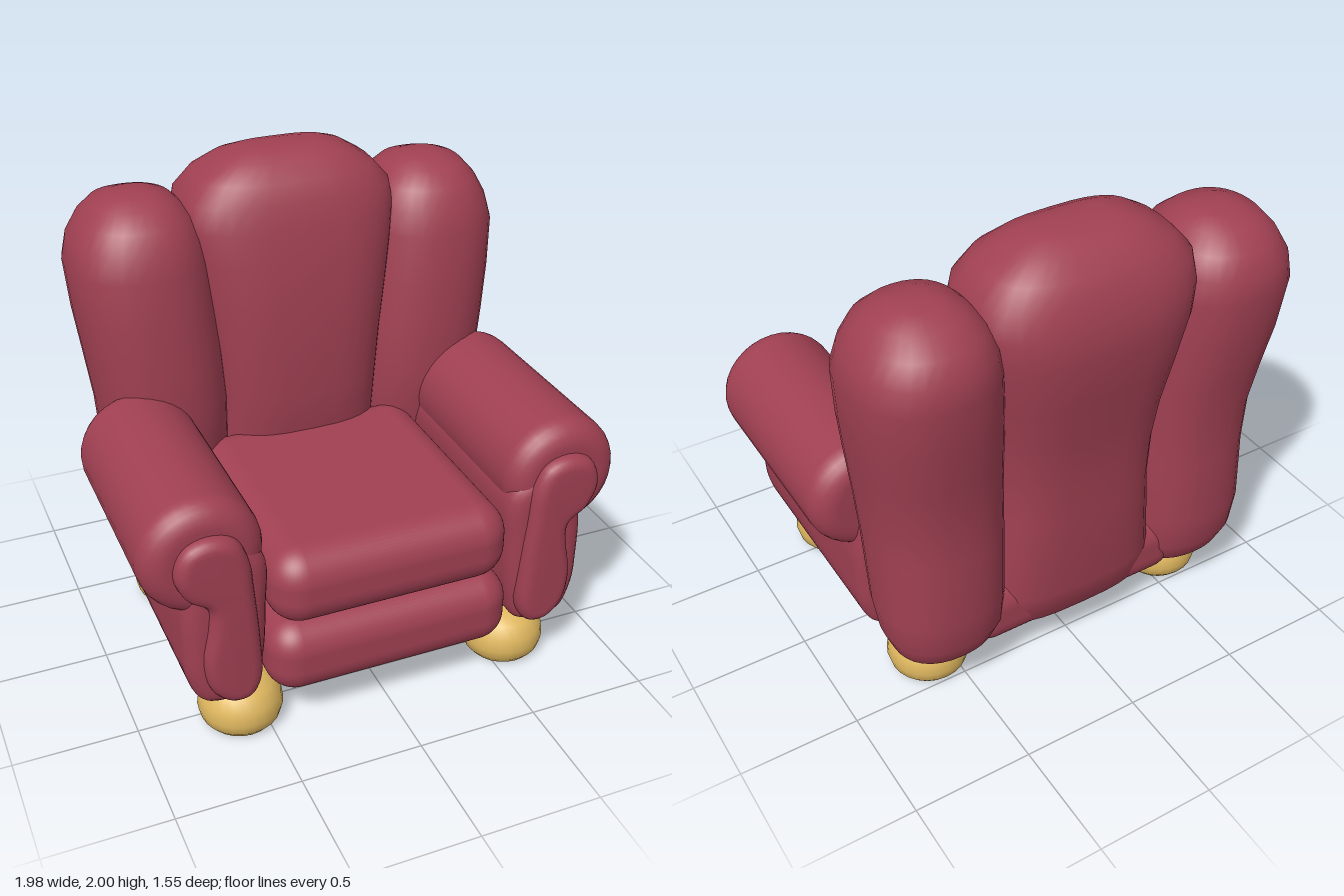
import * as THREE from 'three';
import { toCreasedNormals } from 'three/addons/utils/BufferGeometryUtils.js';
import { RoundedBoxGeometry } from 'three/addons/geometries/RoundedBoxGeometry.js';

const fabric = new THREE.MeshStandardMaterial({ name: 'red upholstery', color: 0xa04052 });
const gold = new THREE.MeshStandardMaterial({ name: 'golden wood', color: 0xdfb75f, side: THREE.DoubleSide });

function add(group, name, geometry, material, x = 0, y = 0, z = 0) {
  const mesh = new THREE.Mesh(geometry, material);
  mesh.name = name;
  mesh.position.set(x, y, z);
  group.add(mesh);
  return mesh;
}

// Closed pillow from horizontal superellipse rings: [y, xInner, xOuter, zFront, zBack]
function loft(rings, side, exponent, n = 32) {
  const pos = [], index = [];
  const bend = v => Math.sign(v) * Math.pow(Math.abs(v), 2 / exponent);
  const centre = ([y, xi, xo, zf, zb]) => [side * (xi + xo) / 2, y, (zf + zb) / 2];
  for (const r of rings) {
    const [cx, y, cz] = centre(r);
    for (let j = 0; j < n; j++) {
      const a = j / n * Math.PI * 2;
      pos.push(cx + bend(Math.cos(a)) * (r[2] - r[1]) / 2, y, cz + bend(Math.sin(a)) * (r[3] - r[4]) / 2);
    }
  }
  const last = rings.length - 1;
  for (let i = 0; i < last; i++) {
    for (let j = 0; j < n; j++) {
      const k = (j + 1) % n, a = i * n + j, b = i * n + k;
      index.push(a, a + n, b, b, a + n, b + n);
    }
  }
  const bottom = pos.length / 3, top = bottom + 1;
  pos.push(...centre(rings[0]), ...centre(rings[last]));
  for (let j = 0; j < n; j++) {
    const k = (j + 1) % n;
    index.push(bottom, j, k, top, last * n + k, last * n + j);
  }
  const g = new THREE.BufferGeometry();
  g.setAttribute('position', new THREE.Float32BufferAttribute(pos, 3));
  g.setIndex(index);
  g.computeVertexNormals();
  return g;
}

// Soft-edged slab from a closed smooth outline, reaching from z0 to z1
function pad(points, side, z0, z1, bevel) {
  const curve = new THREE.CatmullRomCurve3(points.map(([x, y]) => new THREE.Vector3(side * x, y, 0)), true);
  const outline = curve.getPoints(60).slice(0, -1).map(p => new THREE.Vector2(p.x, p.y));
  const g = new THREE.ExtrudeGeometry(new THREE.Shape(outline), {
    depth: z1 - z0 - 2 * bevel, bevelEnabled: true, bevelThickness: bevel,
    bevelSize: bevel, bevelOffset: -bevel, bevelSegments: 5,
  });
  g.translate(0, 0, z0 + bevel);
  return toCreasedNormals(g, 0.9);
}

const wingRings = [
  [0.195, 0.48, 0.68, -0.36, -0.54], [0.21, 0.42, 0.74, -0.31, -0.58], [0.26, 0.36, 0.79, -0.26, -0.63],
  [0.35, 0.33, 0.825, -0.23, -0.67], [0.5, 0.32, 0.845, -0.2, -0.685], [0.8, 0.31, 0.845, -0.13, -0.68],
  [1.0, 0.31, 0.86, -0.115, -0.68], [1.2, 0.32, 0.885, -0.118, -0.71], [1.4, 0.335, 0.91, -0.13, -0.745],
  [1.6, 0.35, 0.925, -0.15, -0.765], [1.7, 0.37, 0.9, -0.18, -0.755], [1.78, 0.41, 0.855, -0.22, -0.71],
  [1.84, 0.47, 0.8, -0.29, -0.64], [1.87, 0.53, 0.73, -0.37, -0.55], [1.877, 0.58, 0.68, -0.42, -0.49],
];
// Centre panel: [y, half width, zFront, zBack]
const centreRings = [
  [0.2, 0.3, -0.32, -0.55], [0.25, 0.36, -0.27, -0.62], [0.4, 0.38, -0.22, -0.66], [0.8, 0.35, -0.13, -0.675],
  [1.0, 0.36, -0.115, -0.68], [1.2, 0.38, -0.115, -0.705], [1.4, 0.41, -0.12, -0.745], [1.6, 0.445, -0.145, -0.775],
  [1.72, 0.46, -0.17, -0.765], [1.82, 0.445, -0.195, -0.735], [1.9, 0.375, -0.235, -0.69],
  [1.96, 0.28, -0.3, -0.62], [1.99, 0.2, -0.36, -0.55], [2.0, 0.13, -0.4, -0.5],
].map(([y, w, f, b]) => [y, -w, w, f, b]);

const armPanel = [
  [0.52, 0.85], [0.51, 0.6], [0.53, 0.35], [0.57, 0.23], [0.67, 0.205], [0.78, 0.23],
  [0.835, 0.35], [0.845, 0.5], [0.84, 0.68], [0.8, 0.85], [0.68, 0.95],
];
const scroll = [
  [0.575, 0.74], [0.555, 0.5], [0.555, 0.32], [0.6, 0.245], [0.68, 0.24], [0.755, 0.31],
  [0.78, 0.45], [0.755, 0.6], [0.755, 0.69], [0.83, 0.75], [0.875, 0.86], [0.835, 0.965],
  [0.74, 1.0], [0.64, 0.97], [0.59, 0.87],
];

// Arm roll along z with rounded ends
function rollGeometry() {
  const R = 0.243, r = 0.1, z0 = -0.26, z1 = 0.71, pts = [new THREE.Vector2(0, z0)];
  for (const [zc, start] of [[z0 + r, -Math.PI / 2], [z1 - r, 0]]) {
    for (let i = 0; i <= 6; i++) {
      const a = start + i / 6 * Math.PI / 2;
      pts.push(new THREE.Vector2(R - r + r * Math.cos(a), zc + r * Math.sin(a)));
    }
  }
  pts.push(new THREE.Vector2(0, z1));
  return new THREE.LatheGeometry(pts, 32).rotateX(Math.PI / 2);
}

export function createModel() {
  const chair = new THREE.Group();
  chair.name = 'armchair';

  // Seat
  add(chair, 'seatBase', new RoundedBoxGeometry(1.03, 0.32, 1.38, 6, 0.125), fabric, 0, 0.34, 0.08);
  add(chair, 'seatCushion', new RoundedBoxGeometry(1.0, 0.33, 1.07, 6, 0.135), fabric, 0, 0.66, 0.235);

  // Back
  add(chair, 'backCentre', loft(centreRings, 1, 3), fabric);

  // Sides
  const roll = rollGeometry();
  for (const [side, label] of [[1, 'left'], [-1, 'right']]) {
    add(chair, label + 'BackWing', loft(wingRings, side, 2.3), fabric);
    add(chair, label + 'ArmPanel', pad(armPanel, side, -0.3, 0.72, 0.07), fabric);
    add(chair, label + 'ArmRoll', roll, fabric, side * 0.747, 0.877, 0);
    add(chair, label + 'ArmScroll', pad(scroll, side, 0.6, 0.765, 0.05), fabric);
  }

  // Bun feet, hollow underneath
  const footProfile = [
    [0.11, 0.005], [0.135, 0], [0.16, 0.03], [0.172, 0.075], [0.165, 0.13], [0.135, 0.185], [0.085, 0.215], [0, 0.225],
  ].map(p => new THREE.Vector2(...p));
  const foot = new THREE.LatheGeometry(footProfile, 24);
  for (const x of [-0.59, 0.59]) {
    for (const z of [0.555, -0.35]) add(chair, z > 0 ? 'frontFoot' : 'backFoot', foot, gold, x, 0, z);
  }
  return chair;
}
